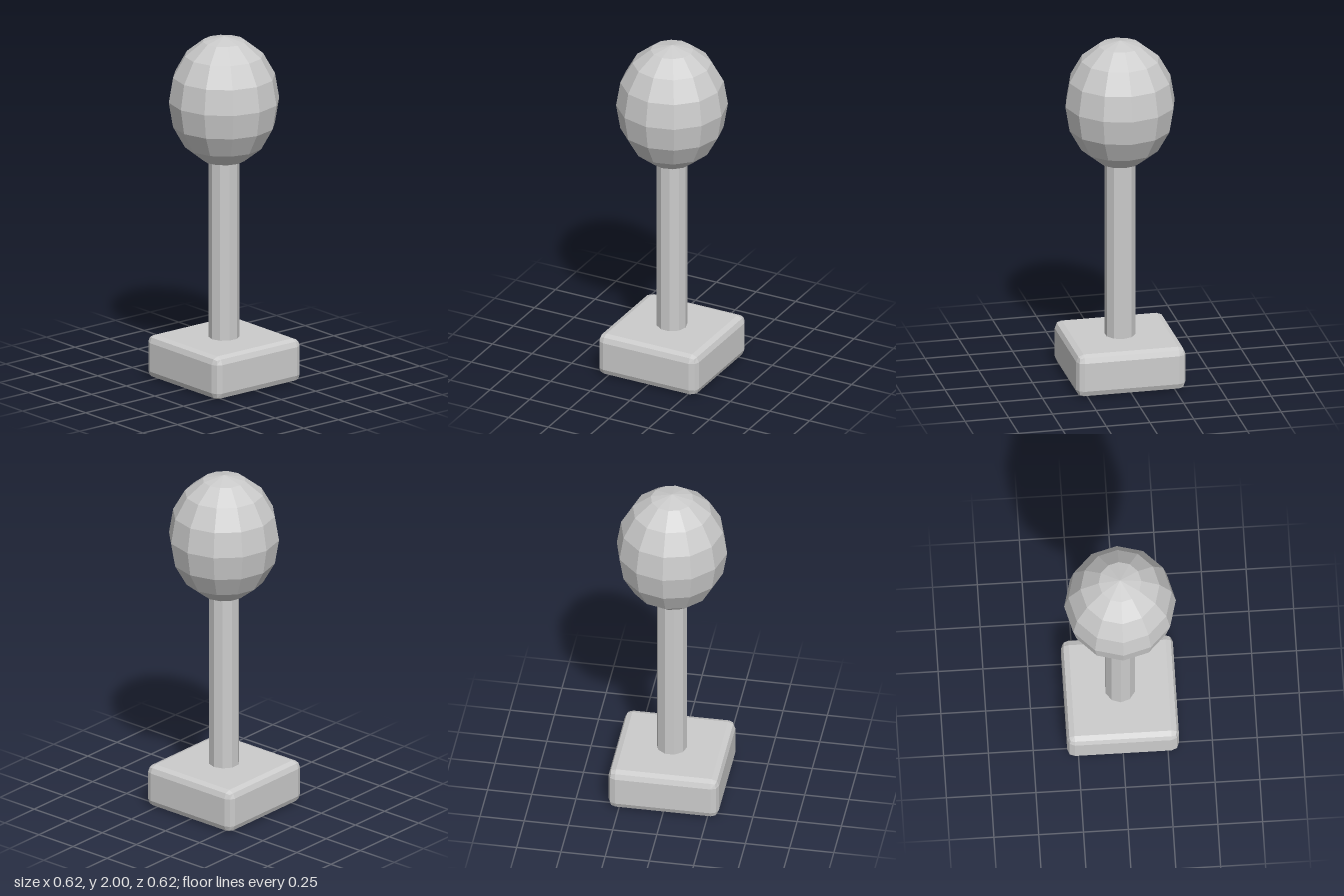
import * as THREE from 'three';
import { RoundedBoxGeometry } from 'three/addons/geometries/RoundedBoxGeometry.js';

export function createModel() {
  const model = new THREE.Group();
  model.name = 'postWithBall';
  const material = new THREE.MeshStandardMaterial({ color: 0xcccccc, flatShading: true });

  const addPart = (name, geometry, y) => {
    const mesh = new THREE.Mesh(geometry, material);
    mesh.name = name;
    mesh.position.y = y;
    model.add(mesh);
  };

  const halfWidth = 0.312;
  const baseHeight = 0.25;
  const ballHalfHeight = 0.373;
  const ballY = 2 - ballHalfHeight;

  // Square base with rounded edges, two facets per edge
  addPart('base', new RoundedBoxGeometry(halfWidth * 2, baseHeight, halfWidth * 2, 1, 0.042), baseHeight / 2);

  // Ten-sided post, sunk slightly into the base and the ball
  const postBottom = baseHeight - 0.03;
  const postTop = 1.29;
  addPart('post', new THREE.CylinderGeometry(0.086, 0.086, postTop - postBottom, 10), (postTop + postBottom) / 2);

  // Faceted, vertically stretched ball
  const ball = new THREE.SphereGeometry(halfWidth, 12, 8);
  ball.scale(1, ballHalfHeight / halfWidth, 1);
  addPart('ball', ball, ballY);

  return model;
}
